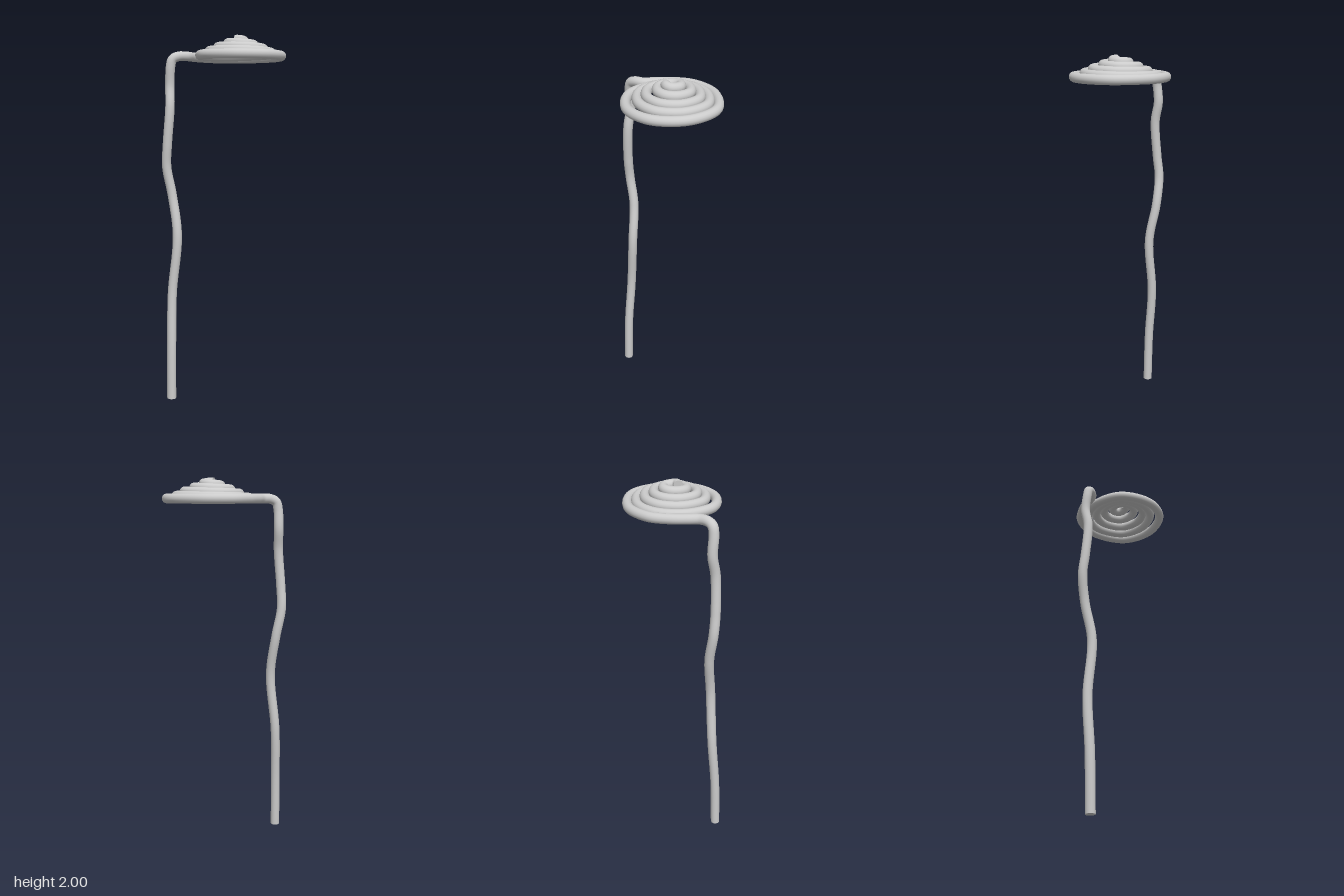
import * as THREE from 'three';

const RADIUS = 0.0255;
const material = new THREE.MeshStandardMaterial({ color: 0xcccccc });

// Slightly wobbly upright stem, then the bend and the arm leading to the coil
const stemPoints = [
  [-0.275, 0, 0.165], [-0.275, 0.3, 0.155], [-0.275, 0.6, 0.13], [-0.245, 0.92, 0.123],
  [-0.278, 1.14, 0.1], [-0.305, 1.3, 0.11], [-0.297, 1.42, 0.12], [-0.28, 1.62, 0.12],
  [-0.285, 1.73, 0.1], [-0.279, 1.83, 0.106], [-0.268, 1.872, 0.103], [-0.24, 1.888, 0.088],
  [-0.205, 1.89, 0.055], [-0.19, 1.89, 0], [-0.165, 1.89, -0.08], [-0.107, 1.89, -0.172],
];

// Centre line of the coil where it crosses each side, from outer turn to inner
const back = [-0.232, -0.187, -0.143, -0.098, -0.05];
const right = [0.3, 0.247, 0.205, 0.152, 0.1];
const front = [0.228, 0.17, 0.126, 0.072, 0.028];
const left = [-0.135, -0.085, -0.038, 0.015];

function coilPoints() {
  const sides = [];
  for (let i = 0; i < 5; i++) {
    const lean = 1 - i / 5;
    sides.push([0.065 - 0.03 * lean, back[i]], [right[i], 0], [0.07 + 0.02 * lean, front[i]]);
    if (i < 4) sides.push([left[i], 0]);
  }
  const cx = 0.07, points = [];
  const last = sides.length - 1;
  sides.forEach(([x, z], i) => {
    // The first turn is flat; the rest climbs to the middle
    const height = (k) => 1.89 + 0.085 * Math.max(0, (k - 2) / (last - 2));
    points.push(new THREE.Vector3(x, height(i), z));
    if (i === last) return;
    // Rounded-square corner between two neighbouring sides
    const [x2, z2] = sides[i + 1];
    const alongX = i % 2 ? x : x2, alongZ = i % 2 ? z2 : z;
    const r = 0.72;
    points.push(new THREE.Vector3(cx + (alongX - cx) * r, height(i + 0.5), alongZ * r));
  });
  // Cut end of the wire at the centre
  points.push(new THREE.Vector3(0.059, 1.974, 0.027));
  return points;
}

// Flat disc closing one end of the wire
function endCap(curve, t, name) {
  const cap = new THREE.Mesh(new THREE.CircleGeometry(RADIUS, 16), material);
  const outward = curve.getTangentAt(t).multiplyScalar(t === 0 ? -1 : 1);
  cap.quaternion.setFromUnitVectors(new THREE.Vector3(0, 0, 1), outward);
  cap.position.copy(curve.getPointAt(t));
  cap.name = name;
  return cap;
}

export function createModel() {
  const group = new THREE.Group();
  group.name = 'coiledWireStand';
  const path = [...stemPoints.map((p) => new THREE.Vector3(...p)), ...coilPoints()];
  const curve = new THREE.CatmullRomCurve3(path, false, 'centripetal');
  curve.arcLengthDivisions = 2000;

  const wire = new THREE.Mesh(new THREE.TubeGeometry(curve, 600, RADIUS, 16), material);
  wire.name = 'stemAndCoil';
  group.add(wire, endCap(curve, 0, 'footCap'), endCap(curve, 1, 'coilTipCap'));
  return group;
}
